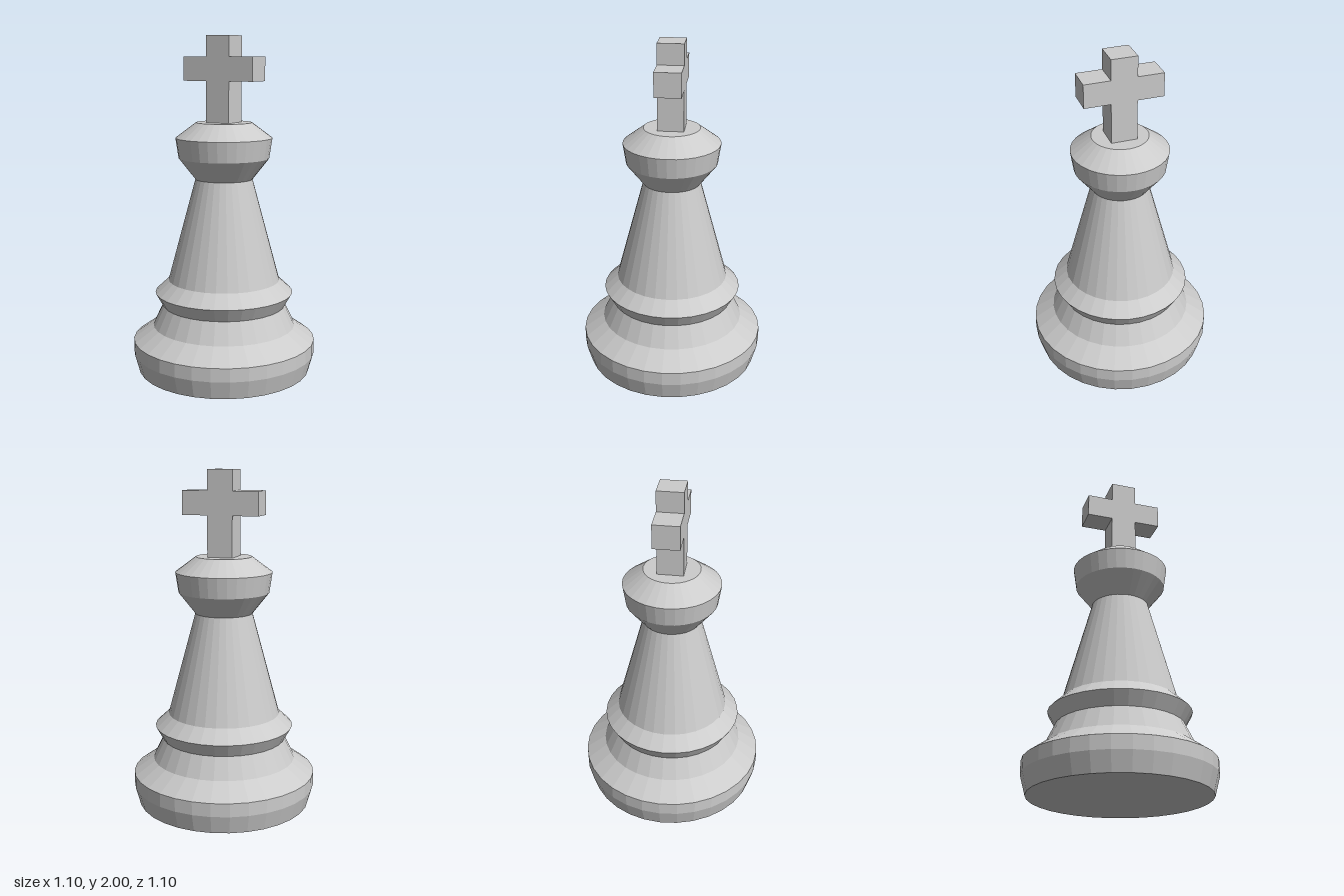
import * as THREE from 'three';

export function createModel() {
  const model = new THREE.Group();
  model.name = 'chessKing';
  const material = new THREE.MeshStandardMaterial({ color: 0xcccccc, flatShading: true });

  // Each turned part is a faceted lathe of [radius, height] points
  const addTurned = (name, points) => {
    const profile = points.map(([r, y]) => new THREE.Vector2(r, y));
    const mesh = new THREE.Mesh(new THREE.LatheGeometry(profile, 32), material);
    mesh.name = name;
    model.add(mesh);
  };

  addTurned('base', [[0, 0], [0.52, 0], [0.55, 0.11], [0.55, 0.19], [0.43, 0.275], [0.37, 0.4]]);
  addTurned('collar', [[0.37, 0.4], [0.415, 0.48], [0.335, 0.555]]);
  addTurned('body', [[0.335, 0.555], [0.17, 1.165]]);
  addTurned('head', [[0.17, 1.165], [0.268, 1.29], [0.286, 1.41], [0.165, 1.5], [0, 1.5]]);

  // Cross on top, one extruded outline
  const w = 0.076, arm = 0.23, foot = 1.5, low = 1.74, high = 1.88, top = 2;
  const half = [[w, foot], [w, low], [arm, low], [arm, high], [w, high], [w, top]];
  const outline = [...half, ...half.map(([x, y]) => [-x, y]).reverse()];
  const shape = new THREE.Shape(outline.map(([x, y]) => new THREE.Vector2(x, y)));
  const geometry = new THREE.ExtrudeGeometry(shape, { depth: 2 * w, bevelEnabled: false });
  geometry.translate(0, 0, -w);
  const cross = new THREE.Mesh(geometry, material);
  cross.name = 'cross';
  model.add(cross);

  return model;
}
